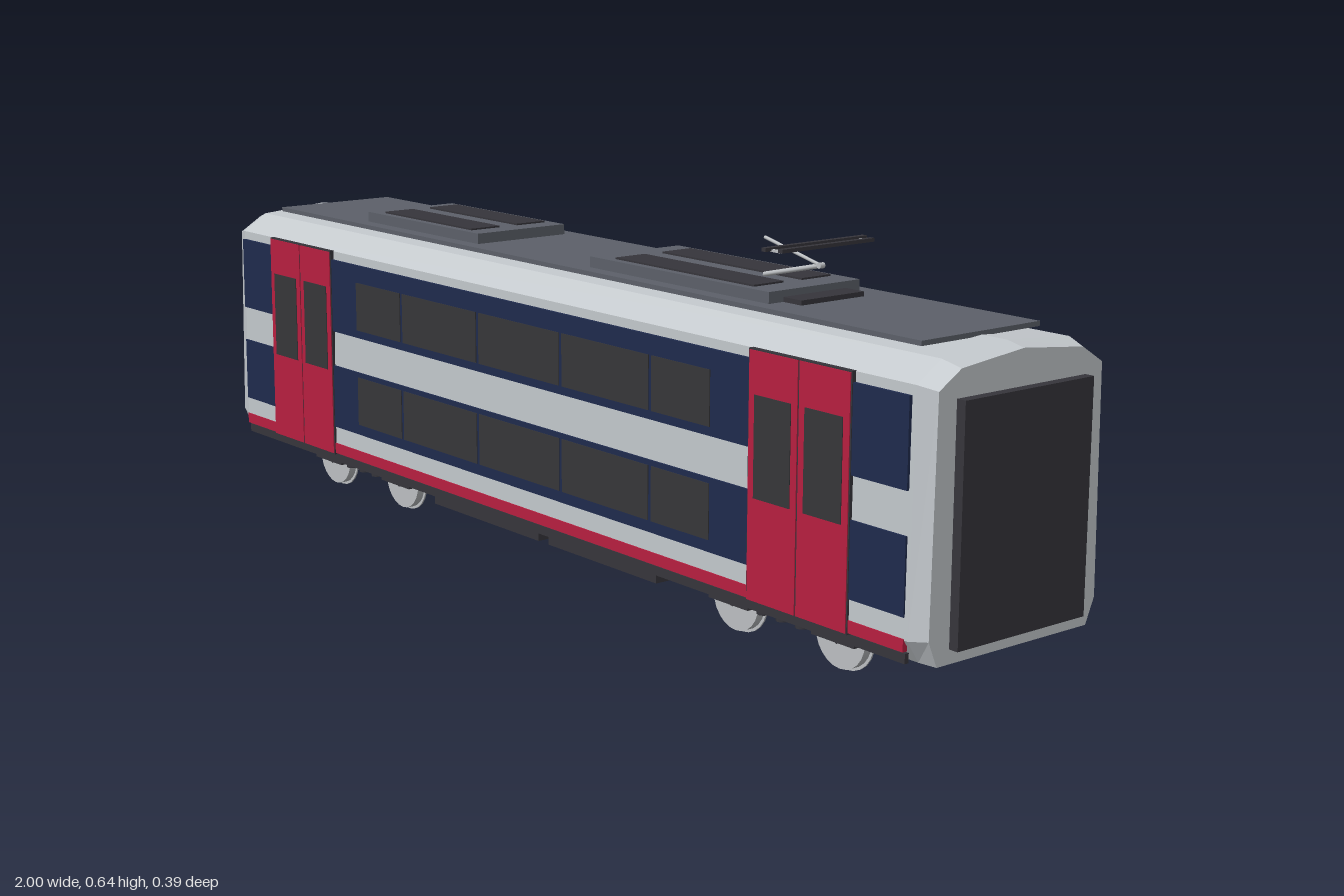
import * as THREE from 'three';

const mat = (name, color) => Object.assign(new THREE.MeshStandardMaterial({ color }), { name });

export function createModel() {
  const M = {
    shell: mat('pale grey shell', 0xc3c8cc),
    navy: mat('navy band', 0x1f2b4d),
    red: mat('red paint', 0xb81f40),
    glass: mat('dark glass', 0x363639),
    dark: mat('dark rubber', 0x36353b),
    roof: mat('roof grey', 0x5c6069),
    steel: mat('wheel steel', 0xbcbfc2),
  };
  const model = new THREE.Group();
  model.name = 'railCar';

  const add = (name, geo, material, parent = model) => {
    const mesh = new THREE.Mesh(geo, material);
    mesh.name = name;
    parent.add(mesh);
    return mesh;
  };
  // Box given by its limits on each axis
  const box = (name, x0, x1, y0, y1, z0, z1, material, parent) => {
    const mesh = add(name, new THREE.BoxGeometry(x1 - x0, y1 - y0, z1 - z0), material, parent);
    mesh.position.set((x0 + x1) / 2, (y0 + y1) / 2, (z0 + z1) / 2);
    return mesh;
  };
  // Round bar between two points
  const bar = (name, a, b, r, material, parent) => {
    const p = new THREE.Vector3(...a), q = new THREE.Vector3(...b), d = q.clone().sub(p);
    const mesh = add(name, new THREE.CylinderGeometry(r, r, d.length(), 8), material, parent);
    mesh.position.copy(p).add(q).multiplyScalar(0.5);
    mesh.quaternion.setFromUnitVectors(new THREE.Vector3(0, 1, 0), d.normalize());
    return mesh;
  };

  // Body shell: faceted cross-sections, drawn in at both ends
  const mirrorSection = half => [...half, ...half.slice(0, -1).reverse().map(([z, y]) => [-z, y])];
  const mid = mirrorSection([[0.167, 0.088], [0.191, 0.125], [0.187, 0.506], [0.137, 0.538], [0, 0.549]]);
  const end = mirrorSection([[0.163, 0.088], [0.181, 0.13], [0.175, 0.5], [0.13, 0.528], [0, 0.542]]);
  const rings = [[-0.983, end], [-0.95, mid], [0.95, mid], [0.983, end]]
    .map(([x, s]) => s.map(([z, y]) => [x, y, z]));
  const pos = [];
  const tri = (...pts) => pts.forEach(p => pos.push(...p));
  const n = mid.length;
  for (let r = 0; r < 3; r++) {
    const a = rings[r], b = rings[r + 1];
    for (let i = 0; i < n; i++) {
      const j = (i + 1) % n;
      tri(a[i], b[i], b[j]);
      tri(a[i], b[j], a[j]);
    }
  }
  for (let k = 1; k < n - 1; k++) {
    tri(rings[0][0], rings[0][k], rings[0][k + 1]);
    tri(rings[3][0], rings[3][k + 1], rings[3][k]);
  }
  const shell = new THREE.BufferGeometry();
  shell.setAttribute('position', new THREE.Float32BufferAttribute(pos, 3));
  shell.computeVertexNormals();
  add('bodyShell', shell, M.shell);

  // Gangway panels on both ends
  for (const s of [-1, 1]) {
    box('gangway', s > 0 ? 0.975 : -1, s > 0 ? 1 : -0.975, 0.111, 0.485, -0.138, 0.138, M.dark);
  }

  // Side livery, doors and windows
  const doors = [-0.722, 0.715];
  const windows = [[-0.52, -0.37], [-0.362, -0.126], [-0.118, 0.118], [0.126, 0.358], [0.366, 0.51]];
  for (const s of [-1, 1]) {
    const side = new THREE.Group();
    side.name = s > 0 ? 'frontSide' : 'backSide';
    model.add(side);
    const plate = (name, x0, x1, y0, y1, outer, material, thick = 0.009) =>
      box(name, x0, x1, y0, y1, Math.min(s * outer, s * (outer - thick)),
        Math.max(s * outer, s * (outer - thick)), material, side);

    for (const [y0, y1] of [[0.16, 0.282], [0.35, 0.49]]) {
      for (const [x0, x1] of [[-0.948, -0.834], [-0.61, 0.603], [0.827, 0.943]]) {
        plate('navyBand', x0, x1, y0, y1, 0.193, M.navy);
      }
    }
    for (const [y0, y1] of [[0.18, 0.273], [0.365, 0.457]]) {
      for (const [x0, x1] of windows) plate('window', x0, x1, y0, y1, 0.1945, M.glass, 0.006);
    }
    plate('redStripe', -0.948, 0.943, 0.107, 0.127, 0.193, M.red);
    plate('sill', -0.948, 0.943, 0.088, 0.104, 0.188, M.dark, 0.008);

    for (const x of doors) {
      plate('doorFrame', x - 0.113, x + 0.113, 0.104, 0.507, 0.1945, M.dark);
      for (const d of [-1, 1]) {
        const c = x + d * 0.0562;
        plate('doorLeaf', c - 0.0545, c + 0.0545, 0.106, 0.505, 0.196, M.red);
        plate('doorWindow', c - 0.041, c + 0.041, 0.272, 0.436, 0.1972, M.glass, 0.004);
      }
    }
  }

  // Roof deck and equipment housings with vents
  box('roofDeck', -0.9, 0.9, 0.547, 0.555, -0.127, 0.127, M.roof);
  for (const [x0, x1, v0, v1] of [[-0.62, -0.25, -0.582, -0.292], [0.083, 0.54, 0.135, 0.488]]) {
    box('roofHousing', x0, x1, 0.553, 0.574, -0.099, 0.099, M.roof);
    for (const s of [-1, 1]) {
      box('roofVent', v0, v1, 0.57, 0.577, s * 0.052 - 0.032, s * 0.052 + 0.032, M.dark);
    }
  }

  // Current collector
  const collector = new THREE.Group();
  collector.name = 'currentCollector';
  model.add(collector);
  box('collectorBase', 0.535, 0.582, 0.553, 0.563, -0.068, 0.068, M.dark, collector);
  bar('lowerArm', [0.42, 0.577, 0], [0.553, 0.608, 0], 0.004, M.steel, collector);
  bar('upperArm', [0.553, 0.608, 0], [0.42, 0.638, 0], 0.003, M.steel, collector);
  bar('elbowPin', [0.553, 0.608, -0.005], [0.553, 0.608, 0.005], 0.005, M.steel, collector);
  for (const [x, w] of [[0.538, 0.11], [0.566, 0.1]]) {
    box('contactStrip', x - 0.005, x + 0.005, 0.639, 0.645, -w, w, M.dark, collector);
  }
  for (const z of [-0.095, 0.095]) {
    box('stripLink', 0.538, 0.566, 0.638, 0.642, z - 0.003, z + 0.003, M.steel, collector);
  }

  // Underfloor equipment
  box('underfloorCaseLeft', 0, 0.302, 0.046, 0.09, -0.129, 0.129, M.dark);
  box('underfloorCaseRight', -0.36, -0.03, 0.046, 0.09, -0.129, 0.129, M.dark);
  box('underfloorBridge', -0.1, 0.075, 0.04, 0.09, -0.115, -0.045, M.dark);

  // Bogies: frame, axles, wheels and axle boxes
  for (const cx of [-0.627, 0.602]) {
    const bogie = new THREE.Group();
    bogie.name = 'bogie';
    bogie.position.x = cx;
    model.add(bogie);
    box('bolster', -0.05, 0.05, 0.055, 0.09, -0.09, 0.09, M.dark, bogie);
    for (const s of [-1, 1]) {
      box('sideFrame', -0.16, 0.16, 0.064, 0.078, s * 0.116 - 0.008, s * 0.116 + 0.008, M.dark, bogie);
      for (const x of [-0.045, 0, 0.045]) {
        bar('spring', [x, 0.054, s * 0.116], [x, 0.09, s * 0.116], 0.011, M.dark, bogie);
      }
    }
    for (const x of [-0.1225, 0.1225]) {
      bar('axle', [x, 0.059, -0.115], [x, 0.059, 0.115], 0.012, M.dark, bogie);
      for (const s of [-1, 1]) {
        const wheel = add('wheel', new THREE.CylinderGeometry(0.055, 0.055, 0.016, 24), M.steel, bogie);
        wheel.rotation.x = Math.PI / 2;
        wheel.position.set(x, 0.06, s * 0.099);
        const flange = add('flange', new THREE.CylinderGeometry(0.06, 0.06, 0.003, 24), M.steel, bogie);
        flange.rotation.x = Math.PI / 2;
        flange.position.set(x, 0.06, s * 0.0905);
        box('axleBox', x - 0.048, x + 0.048, 0.053, 0.09, s * 0.116 - 0.008, s * 0.116 + 0.008, M.dark, bogie);
      }
    }
  }
  return model;
}
